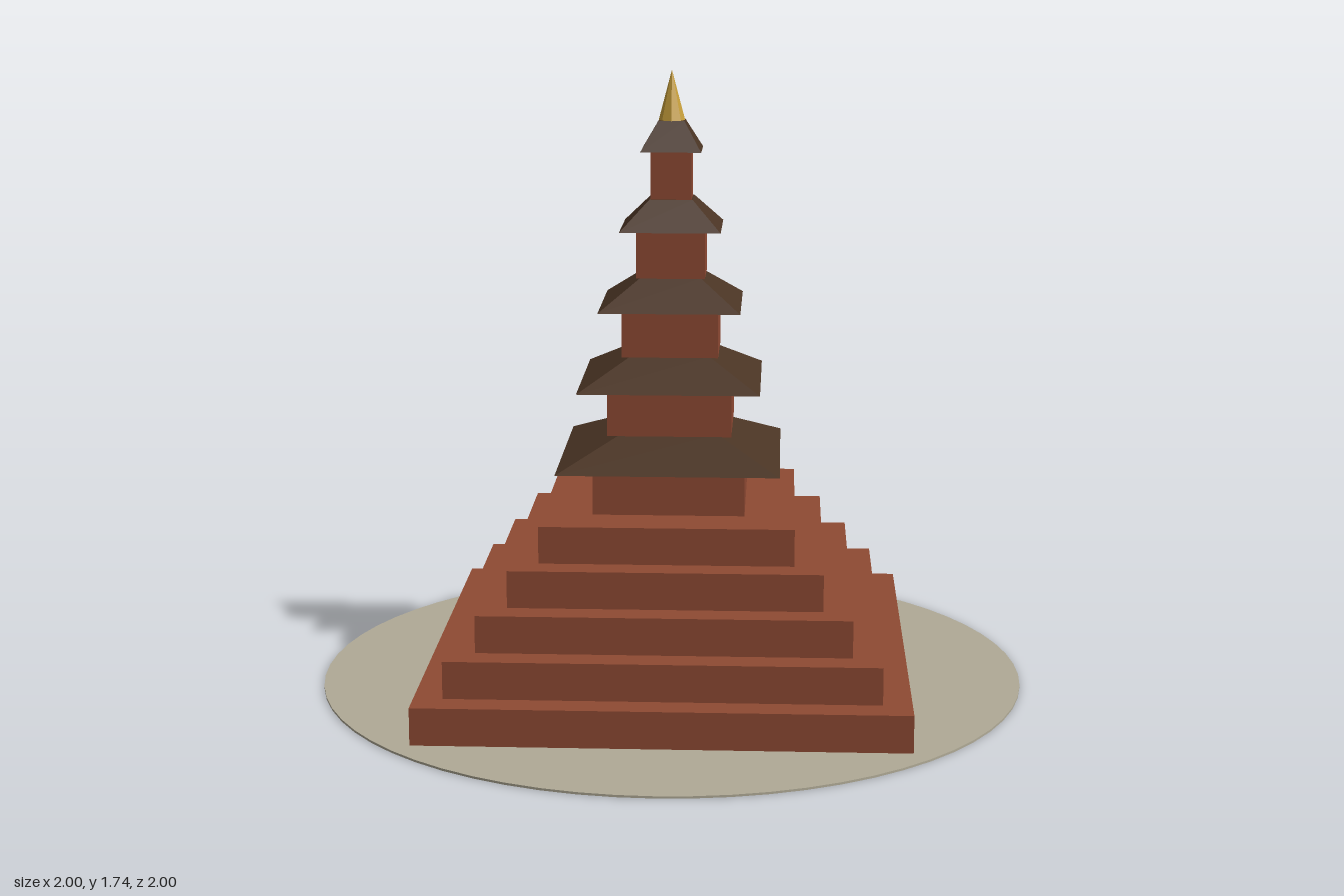
import * as THREE from 'three';

const paint = (name, color) => {
  const m = new THREE.MeshStandardMaterial({ color });
  m.name = name;
  return m;
};

export function createModel() {
  const brick = paint('red brick', 0x8f4a33);
  const timber = paint('dark timber', 0x4a3424);
  const gold = paint('gold', 0xc9a03c);
  const stone = paint('pale stone', 0xb0aa96);

  const model = new THREE.Group();
  model.name = 'tieredTemple';

  const add = (name, geometry, material, bottom, height) => {
    const mesh = new THREE.Mesh(geometry, material);
    mesh.name = name;
    mesh.position.y = bottom + height / 2;
    model.add(mesh);
    return mesh;
  };
  const block = (name, half, bottom, top) =>
    add(name, new THREE.BoxGeometry(half * 2, top - bottom, half * 2), brick, bottom, top - bottom);

  // Square truncated pyramid, turned so its sides face the axes
  const roofGeometry = (half, height) => {
    const r = half * Math.SQRT2;
    return new THREE.CylinderGeometry(r * 0.43, r, height, 4)
      .rotateY(Math.PI / 4).toNonIndexed();
  };
  const flat = (geometry) => {
    geometry.computeVertexNormals();
    return geometry;
  };

  // Round ground slab
  add('groundDisc', new THREE.CylinderGeometry(1, 1, 0.006, 64), stone, 0, 0.006);

  // Stepped plinth
  const stepHeight = 0.1035;
  for (let i = 0; i < 5; i++) {
    const y = 0.006 + i * stepHeight;
    block(`plinthStep${i + 1}`, 0.666 - i * 0.079, y, y + stepHeight);
  }

  // Five storeys, each with a flared roof
  const pitch = 0.2155, roofHeight = 0.082;
  for (let i = 0; i < 5; i++) {
    const eaves = 0.657 + i * pitch;
    block(`storey${i + 1}`, 0.211 - i * 0.0385, eaves - (pitch - roofHeight), eaves);
    const geometry = flat(roofGeometry(0.308 - i * 0.056, roofHeight));
    add(`roof${i + 1}`, geometry, timber, eaves, roofHeight);
  }

  // Gilded spire
  const spire = flat(new THREE.ConeGeometry(0.037, 0.14, 8).toNonIndexed());
  add('spire', spire, gold, 1.6, 0.14);

  return model;
}
